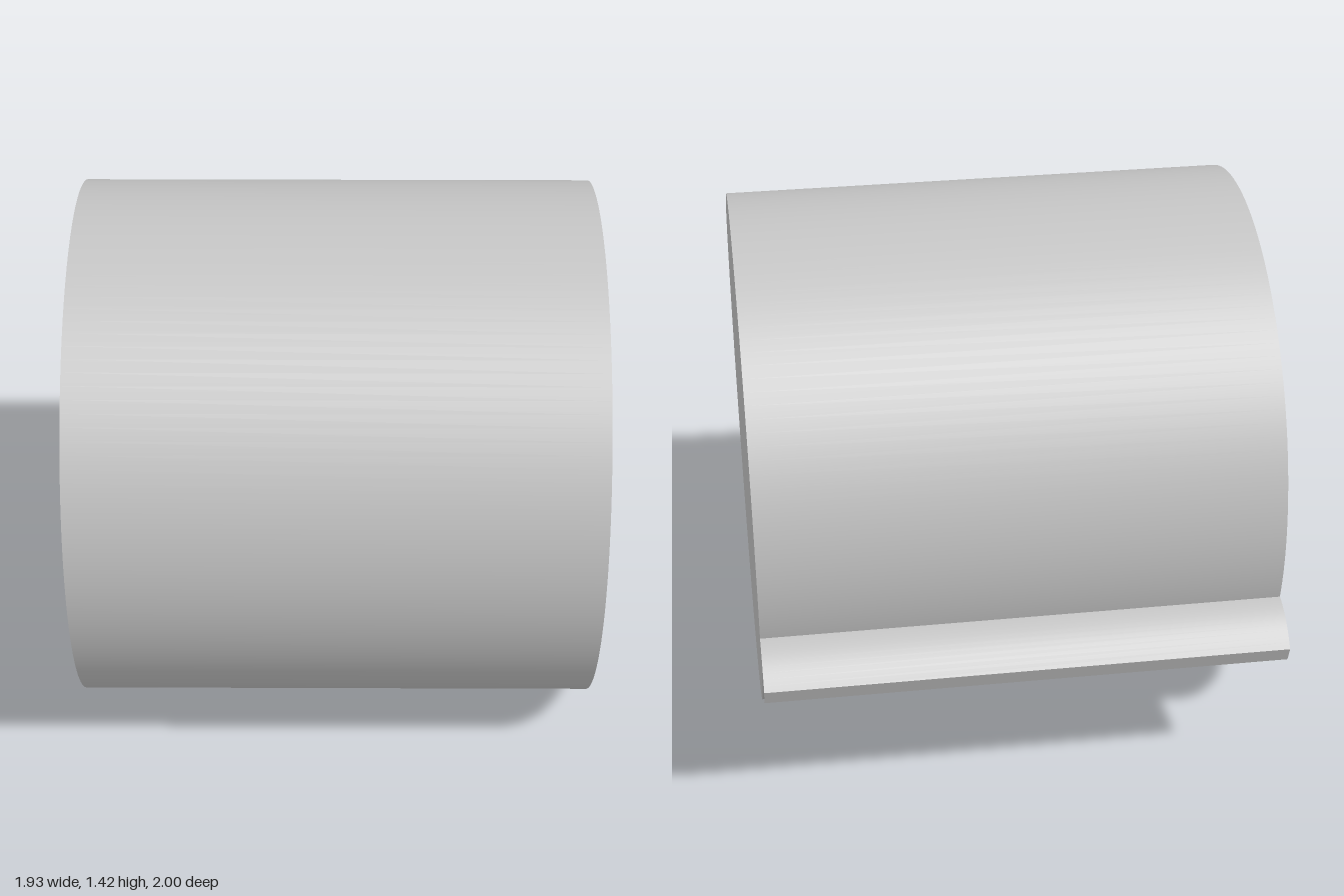
import * as THREE from 'three';
import { toCreasedNormals } from 'three/addons/utils/BufferGeometryUtils.js';

const RADIUS = 0.711;
const LENGTH = 1.388;

export function createModel() {
  const model = new THREE.Group();
  model.name = 'ribbedDrum';
  const grey = new THREE.MeshStandardMaterial({ color: 0xc4c4c4 });
  grey.name = 'light grey';

  // Solid drum lying on its side along local x
  const drumGeometry = new THREE.CylinderGeometry(RADIUS, RADIUS, LENGTH, 128);
  drumGeometry.rotateZ(Math.PI / 2);
  const drum = new THREE.Mesh(drumGeometry, grey);
  drum.name = 'drum';

  // Lip profile: x is the distance out from the drum axis, y is height
  const profile = new THREE.Shape();
  profile.moveTo(0.6, 0.45);
  profile.lineTo(0.648, 0.437);
  profile.quadraticCurveTo(0.69, 0.418, 0.806, 0.419);
  profile.lineTo(0.824, 0.465);
  profile.quadraticCurveTo(0.765, 0.535, 0.688, 0.542);
  profile.lineTo(0.6, 0.542);
  profile.closePath();

  // Lip running the full length of the drum's back
  const extruded = new THREE.ExtrudeGeometry(profile, {
    depth: LENGTH, bevelEnabled: false, curveSegments: 10,
  });
  extruded.translate(0, -RADIUS, -LENGTH / 2);
  extruded.rotateY(Math.PI / 2);
  const lip = new THREE.Mesh(toCreasedNormals(extruded, 0.5), grey);
  lip.name = 'lip';

  // Both parts turned together about the vertical axis
  const body = new THREE.Group();
  body.name = 'body';
  body.add(drum, lip);
  body.rotation.y = THREE.MathUtils.degToRad(27);
  body.position.set(0.023, RADIUS, 0.048);
  model.add(body);
  return model;
}
